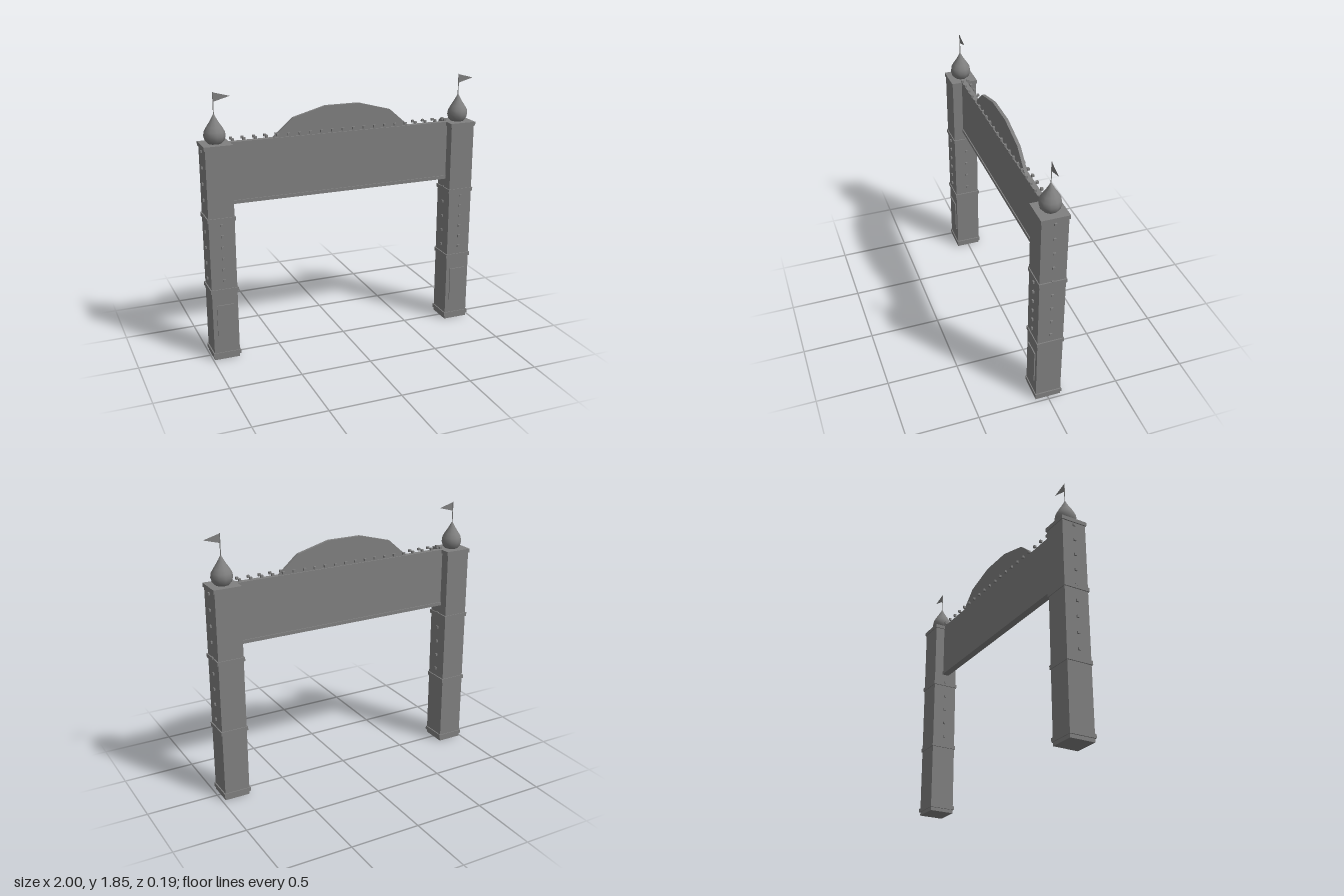
import * as THREE from 'three';

export function createModel() {
  const grey = new THREE.MeshStandardMaterial({ color: 0x808080 });
  grey.name = 'grey';
  const flagGrey = grey.clone();
  flagGrey.name = 'flag grey';
  flagGrey.side = THREE.DoubleSide;

  const add = (parent, name, geometry, x, y, z, material = grey) => {
    const mesh = new THREE.Mesh(geometry, material);
    mesh.name = name;
    mesh.position.set(x, y, z);
    parent.add(mesh);
    return mesh;
  };
  const box = (parent, name, w, h, d, x, y, z) =>
    add(parent, name, new THREE.BoxGeometry(w, h, d), x, y, z);

  const gate = new THREE.Group();
  gate.name = 'archwayGate';
  gate.position.set(-0.007, 0, -0.003);

  const BULB = 0.017;
  const TOP = 1.515;
  const HALF = 0.089;
  const bulbGeometry = new THREE.BoxGeometry(BULB, BULB, BULB);

  // Onion dome profile, from its foot to its tip
  const domeProfile = [
    [0, 0], [0.045, 0], [0.064, 0.02], [0.073, 0.052], [0.068, 0.082],
    [0.051, 0.112], [0.031, 0.142], [0.016, 0.168], [0.005, 0.19], [0, 0.192],
  ].map(([r, y]) => new THREE.Vector2(r, y));
  const domeGeometry = new THREE.LatheGeometry(domeProfile, 10);

  // Pennant, pointing to +x on both towers
  const pennant = new THREE.Shape();
  pennant.moveTo(0, 0.031);
  pennant.lineTo(0, -0.031);
  pennant.lineTo(0.113, 0);
  pennant.closePath();
  const pennantGeometry = new THREE.ShapeGeometry(pennant);

  for (const side of [-1, 1]) {
    const tower = new THREE.Group();
    tower.name = side > 0 ? 'leftTower' : 'rightTower';
    tower.position.x = side * 0.893;
    gate.add(tower);

    box(tower, 'shaft', HALF * 2, 1.5, HALF * 2, 0, 0.75, 0);
    for (const y of [0.038, 0.508, 1.013, TOP - 0.0135])
      box(tower, 'band', 0.194, 0.027, 0.19, 0, y, 0);
    box(tower, 'frontPanel', 0.12, 0.25, 0.009, 0, 0.28, HALF + 0.003);

    // Bulbs down the front and on both flanks
    for (let i = 0; i < 6; i++)
      add(tower, 'frontBulb', bulbGeometry, 0, 0.581 + i * 0.0788, HALF + 0.002);
    for (let i = 0; i < 9; i++)
      for (const flank of [-1, 1])
        add(tower, 'sideBulb', bulbGeometry, flank * (HALF + 0.002), 0.581 + i * 0.1108, 0);

    add(tower, 'onionDome', domeGeometry, 0, TOP - 0.002, 0);
    add(tower, 'flagPole', new THREE.CylinderGeometry(0.003, 0.003, 0.16, 6), 0, 1.77, 0);
    add(tower, 'pennant', pennantGeometry, 0, 1.817, 0, flagGrey);
  }

  // Sign board between the towers, with a lip below
  box(gate, 'signBoard', 1.62, 0.42, 0.038, 0, TOP - 0.21, 0);
  box(gate, 'lowerLip', 1.62, 0.024, 0.052, 0, 1.105, 0);

  // Faceted crest on top of the board
  const crest = new THREE.Shape([
    [-0.53, 1.49], [-0.5, 1.513], [-0.355, 1.64], [-0.122, 1.703],
    [0.122, 1.703], [0.355, 1.64], [0.5, 1.513], [0.53, 1.49],
  ].map(([x, y]) => new THREE.Vector2(x, y)).reverse());
  add(gate, 'crest', new THREE.ExtrudeGeometry(crest, { depth: 0.022, bevelEnabled: false }), 0, 0, -0.011);

  // Two rows of bulbs along the board's upper edges
  for (let i = 0; i < 21; i++)
    for (const z of [-0.021, 0.021])
      add(gate, 'topBulb', bulbGeometry, (i - 10) * 0.0781, 1.533, z);

  const model = new THREE.Group();
  model.name = 'entranceGate';
  model.add(gate);
  return model;
}
